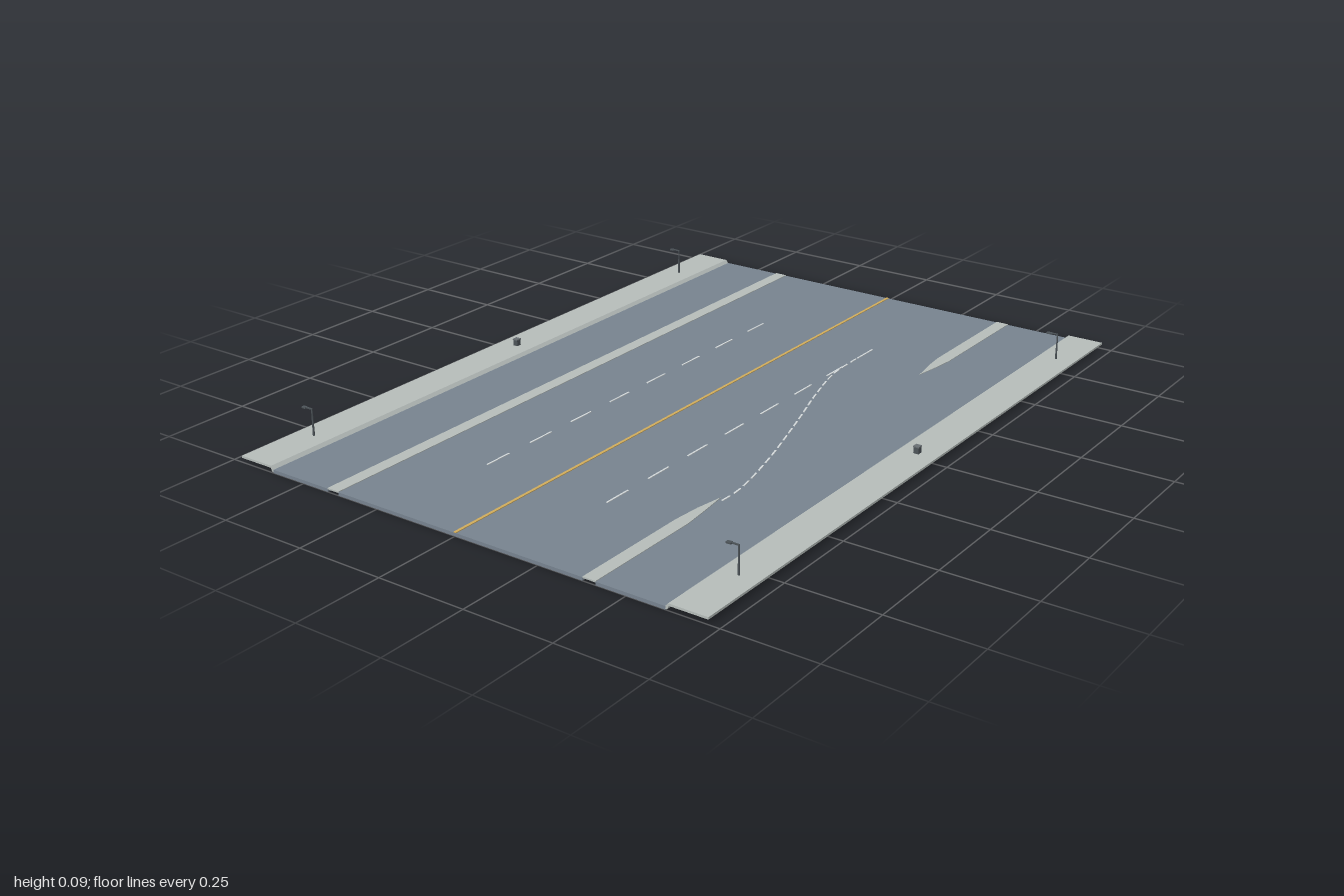
import * as THREE from 'three';

const paint = (name, color) => {
  const m = new THREE.MeshStandardMaterial({ color });
  m.name = name;
  return m;
};

export function createModel() {
  const model = new THREE.Group();
  model.name = 'roadSection';
  const asphalt = paint('asphalt', 0x77838f);
  const concrete = paint('concrete', 0xb6bdba);
  const white = paint('whitePaint', 0xd2d8da);
  const yellow = paint('yellowPaint', 0xd0ac5c);
  const metal = paint('darkMetal', 0x4c5358);
  const binGrey = paint('binGrey', 0x6a7074);

  const add = (parent, name, geometry, material, x = 0, y = 0, z = 0) => {
    const mesh = new THREE.Mesh(geometry, material);
    mesh.name = name;
    mesh.position.set(x, y, z);
    parent.add(mesh);
    return mesh;
  };
  // Flat slab from an [x, z] outline between two heights
  const slab = (name, outline, y0, y1, material) => {
    const shape = new THREE.Shape(outline.map(([x, z]) => new THREE.Vector2(x, -z)));
    const g = new THREE.ExtrudeGeometry(shape, { depth: y1 - y0, bevelEnabled: false });
    g.rotateX(-Math.PI / 2);
    return add(model, name, g, material, 0, y0);
  };
  const rect = (x0, x1, z0, z1) => [[x0, z0], [x1, z0], [x1, z1], [x0, z1]];

  // Median outlines; the two front ones taper to a point around the crossing gap
  const zi = 0.379, zo = 0.416, top = 0.009;
  const leftTip = [[-0.65, zi], [-0.57, 0.385], [-0.49, 0.398], [-0.57, 0.408], [-0.65, zo]];
  const rightTip = [[0.63, zo], [0.57, 0.41], [0.49, 0.398], [0.57, 0.385], [0.63, zi]];

  // Carriageway, notched where the medians sit
  slab('backLane', rect(-1, 1, -0.607, -zo), 0, top, asphalt);
  slab('mainRoad', [
    [-1, -zi], [1, -zi], [1, zi], ...[...rightTip].reverse(), [1, zo], [1, 0.607],
    [-1, 0.607], [-1, zo], ...[...leftTip].reverse(), [-1, zi],
  ], 0, top, asphalt);

  // Medians
  slab('backMedian', rect(-1, 1, -zo, -zi), 0.007, 0.011, concrete);
  slab('frontMedianRight', [[-1, zi], ...leftTip, [-1, zo]], 0.007, 0.011, concrete);
  slab('frontMedianLeft', [[1, zo], ...rightTip, [1, zi]], 0.007, 0.011, concrete);

  // Pavements: thin decks with a sloping kerb
  const kerb = new THREE.Shape([
    [0.606, 0.002], [0.606, 0.009], [0.614, 0.018], [0.72, 0.018],
    [0.72, 0.012], [0.616, 0.012], [0.611, 0.002],
  ].map(([z, y]) => new THREE.Vector2(z, y)));
  for (const side of [1, -1]) {
    const g = new THREE.ExtrudeGeometry(kerb, { depth: 2, bevelEnabled: false });
    g.translate(0, 0, -1).rotateY(-side * Math.PI / 2);
    add(model, side > 0 ? 'frontPavement' : 'backPavement', g, concrete);
  }

  // Centre line and lane dashes
  const mark = (name, length, width, x, z, material, angle = 0) => {
    const m = add(model, name, new THREE.BoxGeometry(length, 0.002, width), material, x, top + 0.001, z);
    m.rotation.y = angle;
  };
  mark('centreLine', 2, 0.008, 0, 0, yellow);
  for (const z of [-0.19, 0.19])
    for (let i = 0; i < 8; i++) mark('laneDash', 0.084, 0.005, -0.628 + i * 0.167, z, white);

  // Curved dashed line leading from the gap into the inner lane
  const curve = new THREE.CatmullRomCurve3([
    [-0.51, 0.41], [-0.43, 0.409], [-0.25, 0.372], [0, 0.3], [0.2, 0.237], [0.36, 0.197], [0.5, 0.189],
  ].map(([x, z]) => new THREE.Vector3(x, 0, z)));
  const dashes = 21;
  for (let i = 0; i < dashes; i++) {
    const t = (i + 0.5) / dashes;
    const p = curve.getPointAt(t), d = curve.getTangentAt(t);
    mark('guideDash', 0.032, 0.005, p.x, p.z, white, Math.atan2(-d.z, d.x));
  }

  // Street lamps, all with arms toward the back
  for (const x of [-0.805, 0.805]) for (const z of [-0.665, 0.665]) {
    const lamp = new THREE.Group();
    lamp.name = 'streetLamp';
    lamp.position.set(x, 0.018, z);
    add(lamp, 'lampPole', new THREE.CylinderGeometry(0.002, 0.003, 0.075, 8), metal, 0, 0.0375, 0);
    add(lamp, 'lampArm', new THREE.BoxGeometry(0.004, 0.003, 0.026), metal, 0, 0.074, -0.012);
    add(lamp, 'lampHead', new THREE.BoxGeometry(0.01, 0.004, 0.014), metal, 0, 0.073, -0.026);
    model.add(lamp);
  }

  // Litter bins
  for (const z of [-0.664, 0.664]) {
    add(model, 'binBody', new THREE.BoxGeometry(0.015, 0.017, 0.015), metal, 0, 0.0265, z);
    add(model, 'binLid', new THREE.BoxGeometry(0.017, 0.003, 0.017), binGrey, 0, 0.0365, z);
  }
  return model;
}
